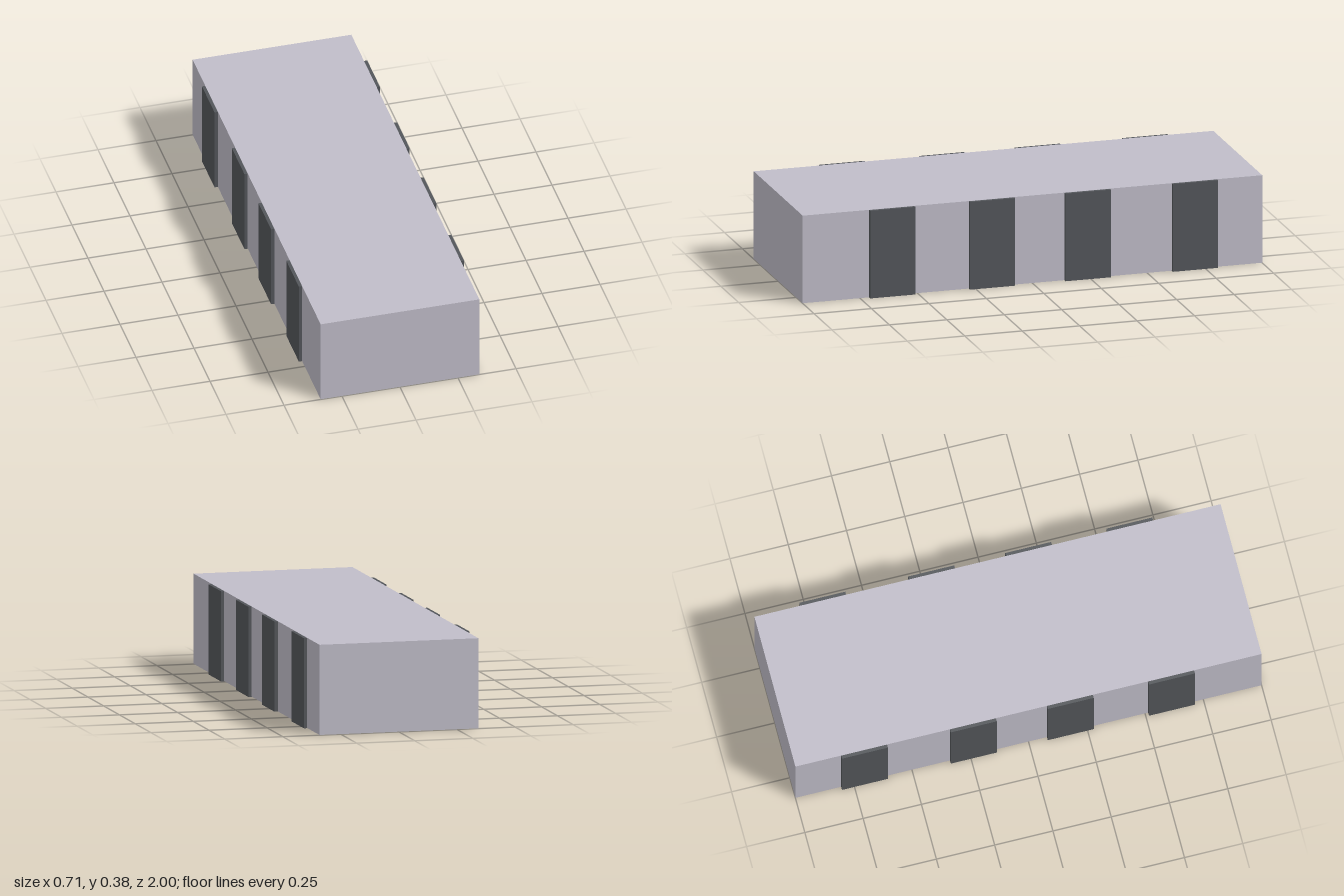
import * as THREE from 'three';

const LENGTH = 2, HEIGHT = 0.38, BODY_WIDTH = 0.684, BAND_WIDTH = 0.712, BAND_LENGTH = 0.197;
const GAP = 0.001; // keeps band and body faces from coinciding

export function createModel() {
  const group = new THREE.Group();
  group.name = 'bandedBlock';
  const bodyMaterial = new THREE.MeshStandardMaterial({ color: 0xc0bdc9 });
  const bandMaterial = new THREE.MeshStandardMaterial({ color: 0x53565a });

  const addBox = (name, material, width, length, bottom, top, z) => {
    const mesh = new THREE.Mesh(new THREE.BoxGeometry(width, top - bottom, length), material);
    mesh.name = name;
    mesh.position.set(0, (bottom + top) / 2, z);
    group.add(mesh);
  };

  // Long rectangular block
  addBox('body', bodyMaterial, BODY_WIDTH, LENGTH, GAP, HEIGHT, 0);

  // Dark bands crossing the block, proud at both sides and flush underneath
  [0.612, 0.178, -0.238, -0.705].forEach((z, i) =>
    addBox(`band${i + 1}`, bandMaterial, BAND_WIDTH, BAND_LENGTH, 0, HEIGHT - GAP, z));

  return group;
}
